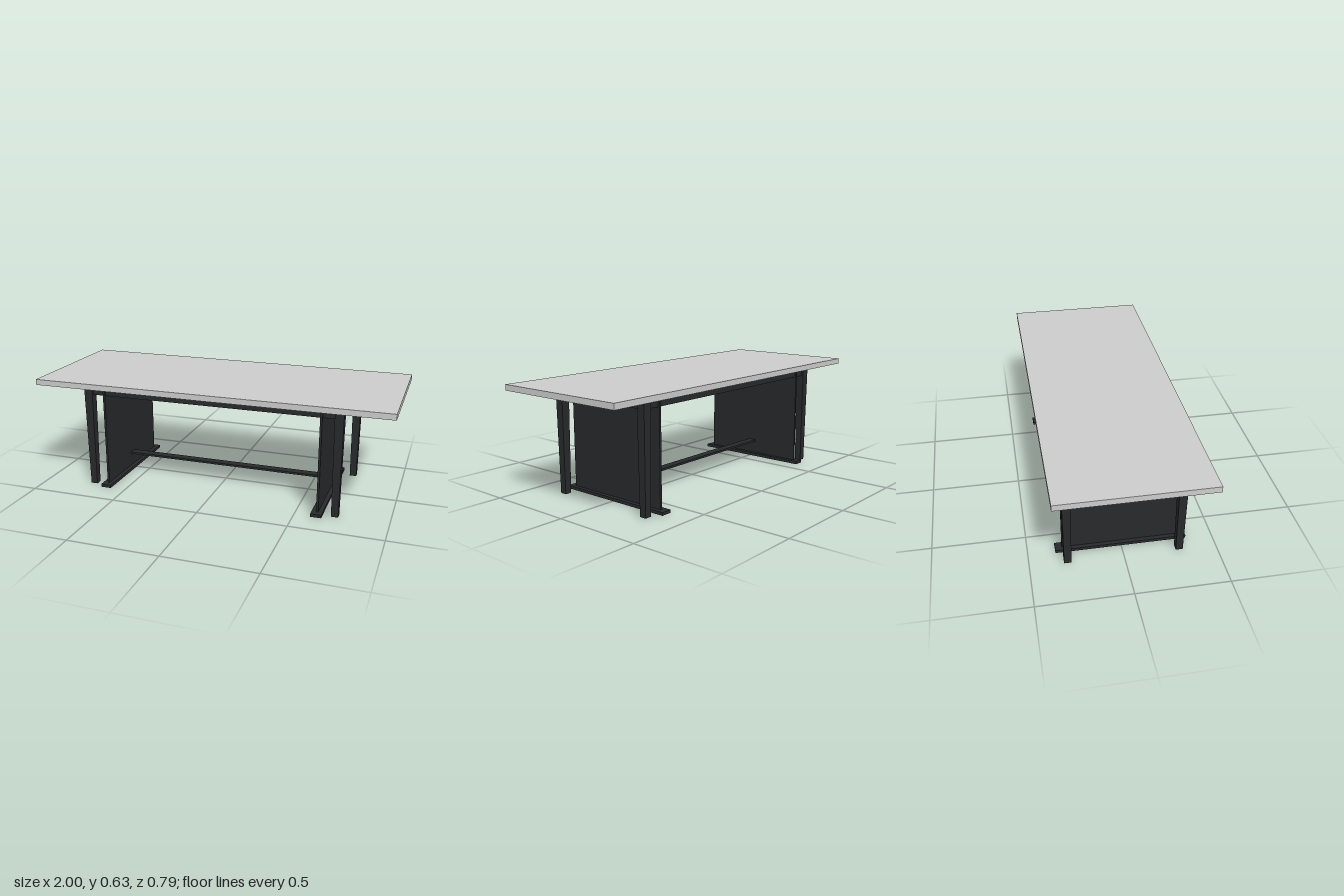
import * as THREE from 'three';

export function createModel() {
  const table = new THREE.Group();
  table.name = 'table';
  const grey = new THREE.MeshStandardMaterial({ color: 0xcccccc });
  const dark = new THREE.MeshStandardMaterial({ color: 0x27292b });

  function add(name, geometry, material, x, y, z) {
    const mesh = new THREE.Mesh(geometry, material);
    mesh.name = name;
    mesh.position.set(x, y, z);
    table.add(mesh);
    return mesh;
  }
  const box = (name, w, h, d, x, y, z, material = dark) =>
    add(name, new THREE.BoxGeometry(w, h, d), material, x, y, z);

  // Square leg, narrowing towards the floor
  function taperedLeg(top, bottom, height) {
    const g = new THREE.BoxGeometry(top, height, top);
    const p = g.attributes.position;
    for (let i = 0; i < p.count; i++) {
      if (p.getY(i) < 0) {
        p.setX(i, p.getX(i) * bottom / top);
        p.setZ(i, p.getZ(i) * bottom / top);
      }
    }
    g.computeVertexNormals();
    return g;
  }

  // Tabletop
  const under = 0.594;
  box('tabletop', 2, 0.032, 0.79, 0, under + 0.016, 0, grey);

  // Frame: four legs joined by aprons
  const legX = 0.712, legZ = 0.299;
  const leg = taperedLeg(0.049, 0.038, under);
  for (const sx of [-1, 1]) {
    for (const sz of [-1, 1]) add('leg', leg, dark, sx * legX, under / 2, sz * legZ);
    box('endApron', 0.022, 0.05, 2 * legZ - 0.045, sx * legX, 0.567, 0);
  }
  for (const sz of [-1, 1]) {
    box('longApron', 2 * legX - 0.045, 0.05, 0.022, 0, 0.567, sz * legZ);
  }

  // Panel supports standing on flat feet
  const panelX = 0.618, footH = 0.017;
  for (const sx of [-1, 1]) {
    box('panel', 0.012, under - footH, 0.636, sx * panelX, (under + footH) / 2, 0);
    box('foot', 0.06, footH, 0.708, sx * panelX, footH / 2, 0);
  }

  // Stretcher between the panels
  box('stretcher', 2 * panelX - 0.012, 0.012, 0.05, 0, 0.096, 0);

  return table;
}
